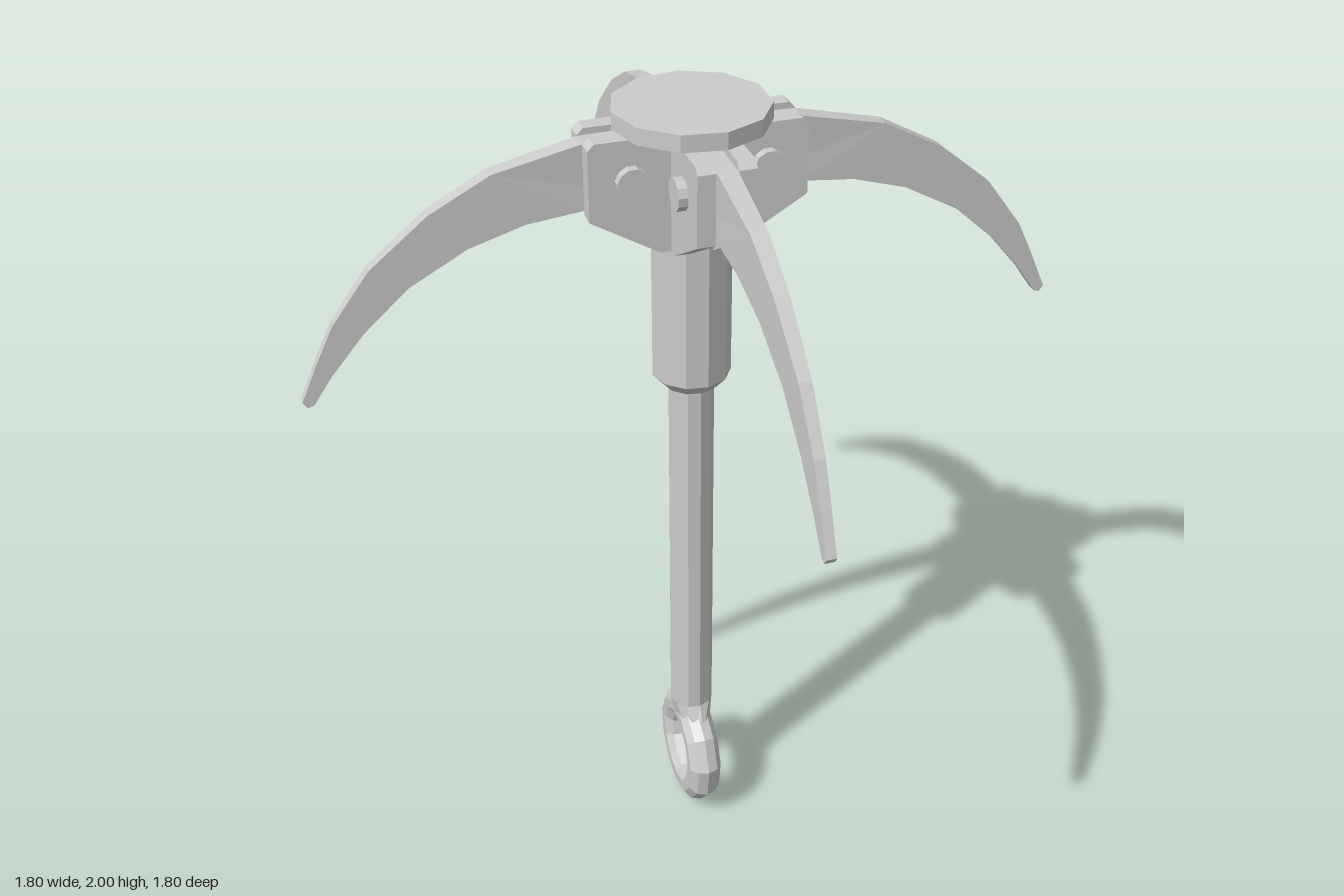
import * as THREE from 'three';

const material = new THREE.MeshStandardMaterial({ color: 0xcccccc, flatShading: true });
const SIDES = 11;

function part(name, geometry, parent) {
  const mesh = new THREE.Mesh(geometry, material);
  mesh.name = name;
  parent.add(mesh);
  return mesh;
}

// Upright faceted cylinder between two heights, one corner pointing to -x
function column(rTop, rBottom, y0, y1) {
  return new THREE.CylinderGeometry(rTop, rBottom, y1 - y0, SIDES, 1, false, -Math.PI / 2)
    .translate(0, (y0 + y1) / 2, 0);
}

// Extruded outline in the xy plane, from z0 to z1
function slab(points, z0, z1) {
  const shape = new THREE.Shape(points.map(([x, y]) => new THREE.Vector2(x, y)));
  return new THREE.ExtrudeGeometry(shape, { depth: z1 - z0, bevelEnabled: false })
    .translate(0, 0, z0);
}

// Curved claw, thinning towards its tip
function clawGeometry() {
  const outline = [
    [0.03, 1.79], [0.25, 1.79], [0.38, 1.775], [0.51, 1.735], [0.645, 1.66],
    [0.75, 1.565], [0.83, 1.47], [0.875, 1.405], [0.89, 1.4], [0.9, 1.415],
    [0.857, 1.51], [0.815, 1.595], [0.725, 1.715], [0.59, 1.825], [0.45, 1.9],
    [0.25, 1.945], [0.03, 1.95],
  ];
  const geometry = slab(outline, -1, 1);
  const p = geometry.attributes.position;
  for (let i = 0; i < p.count; i++) {
    const t = Math.max(0, (p.getX(i) - 0.25) / 0.65);
    p.setZ(i, p.getZ(i) * (0.023 - 0.012 * t));
  }
  geometry.computeVertexNormals();
  return geometry;
}

// One arm: claw held between two bolted cheek plates
function createArm() {
  const arm = new THREE.Group();
  arm.name = 'clawArm';
  part('claw', clawGeometry(), arm);
  const cheek = [
    [0.025, 1.685], [0.09, 1.685], [0.25, 1.78], [0.25, 1.945],
    [0.235, 1.96], [0.025, 1.96],
  ];
  for (const side of [-1, 1]) {
    const z = [0.025 * side, 0.066 * side].sort((a, b) => a - b);
    part('cheekPlate', slab(cheek, z[0], z[1]), arm);
    const bolt = new THREE.CylinderGeometry(0.037, 0.037, 0.035, SIDES).rotateX(Math.PI / 2);
    part('bolt', bolt, arm).position.set(0.155, 1.865, 0.07 * side);
  }
  return arm;
}

export function createModel() {
  const model = new THREE.Group();
  model.name = 'grapplingHook';

  // Shaft, sleeve and cap
  part('shaft', column(0.055, 0.055, 0.33, 1.32), model);
  part('sleeveChamfer', column(0.094, 0.068, 1.305, 1.335), model);
  part('sleeve', column(0.094, 0.094, 1.335, 1.7), model);
  part('cap', column(0.179, 0.179, 1.96, 2), model);

  // Four arms around the head
  for (let i = 0; i < 4; i++) {
    const arm = createArm();
    arm.rotation.y = i * Math.PI / 2;
    model.add(arm);
  }

  // Eye ring, hole facing sideways
  const ring = new THREE.TorusGeometry(0.117, 0.044, 10, SIDES)
    .rotateZ(-Math.PI / 2).rotateY(Math.PI / 2);
  part('eyeRing', ring, model).position.y = 0.161;

  // Neck that spreads from the shaft onto the ring
  const neck = column(0.055, 0.055, 0.265, 0.33);
  const p = neck.attributes.position;
  for (let i = 0; i < p.count; i++) {
    if (p.getY(i) < 0.3) {
      p.setX(i, p.getX(i) * 0.72);
      p.setZ(i, p.getZ(i) * 1.75);
    }
  }
  neck.computeVertexNormals();
  part('neck', neck, model);

  return model;
}
